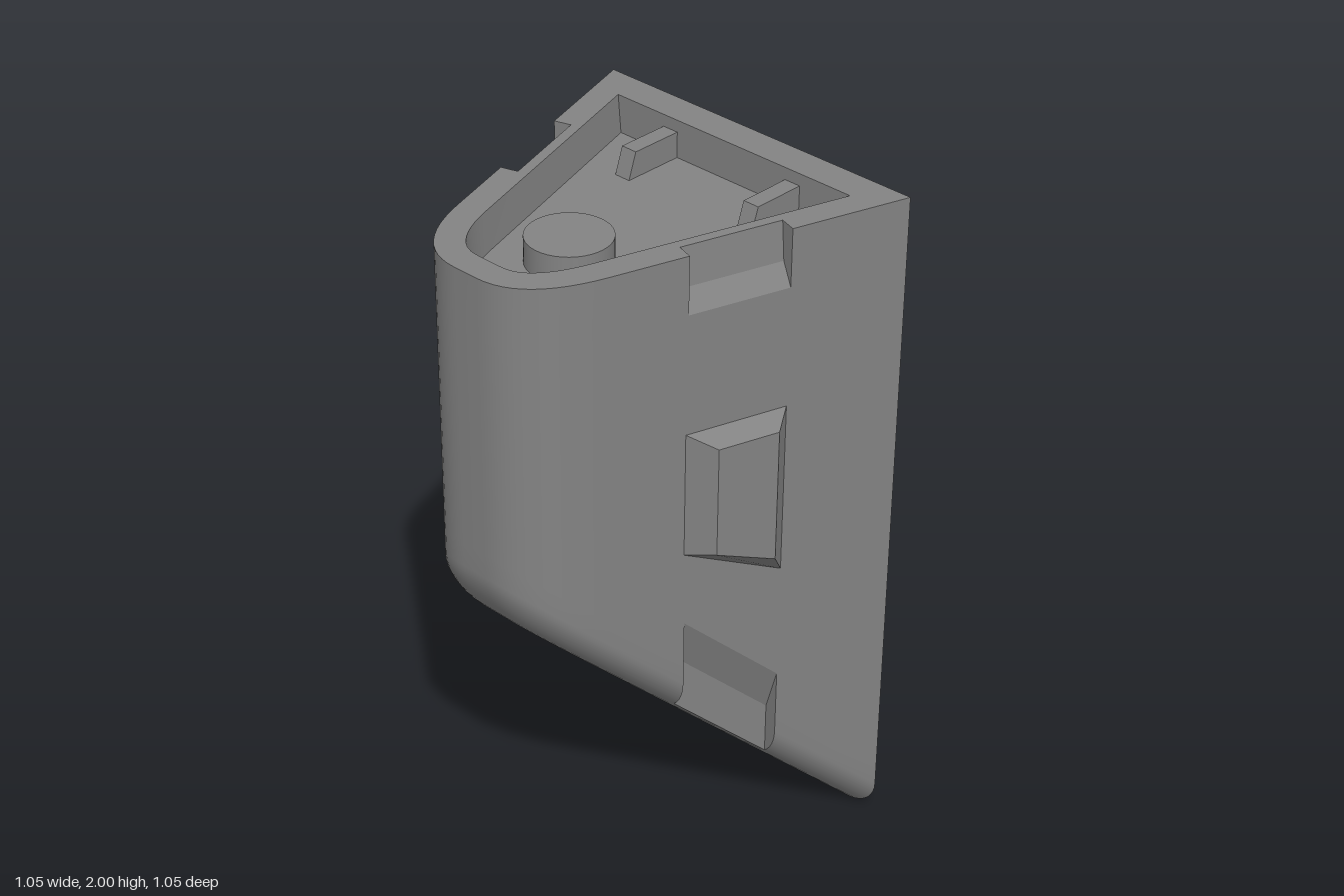
import * as THREE from 'three';
import { toCreasedNormals } from 'three/addons/utils/BufferGeometryUtils.js';

const BACK = -0.525, POCKET_BACK = -0.425, TOP = 2, FLOOR = 1.89;
const SLOPE = -0.314, NX = 1 / Math.hypot(1, SLOPE), NZ = -SLOPE * NX;
const sideX = z => 0.525 + (z - BACK) * SLOPE;   // straight side wall in plan
const slantY = z => 0.965 * z + 0.507;           // slanted underside

const material = new THREE.MeshStandardMaterial({ color: 0x838383 });

// Plan outline from the left back corner to the nose, then mirrored
function makeColumns() {
  const half = [];
  const side = (z, notch = 0, end = false) => half.push({ x: sideX(z), z, nx: NX, nz: NZ, notch, end });
  side(BACK, 0, true);
  side(-0.195);
  side(-0.195, 0.05);
  side(0.085, 0.05);
  side(0.085);
  const nose = new THREE.QuadraticBezierCurve(
    new THREE.Vector2(sideX(0.3), 0.3), new THREE.Vector2(0.195, 0.525), new THREE.Vector2(0.04, 0.525));
  for (let i = 0; i <= 12; i++) {
    const p = nose.getPoint(i / 12), t = nose.getTangent(i / 12);
    half.push({ x: p.x, z: p.y, nx: t.y, nz: -t.x, notch: 0 });
  }
  return [...half, ...half.map(c => ({ ...c, x: -c.x, nx: -c.nx })).reverse()];
}

// Points of one column, from the underside recess up to the pocket floor
function columnPoints(c) {
  const at = (inset, y, endZ = BACK) => {
    const s = Math.sign(c.x);
    const x = c.end ? s * (sideX(endZ) - inset / NX) : c.x - c.nx * inset;
    const z = c.end ? endZ : c.z - c.nz * inset;
    return new THREE.Vector3(x, typeof y === 'function' ? y(z) : y, z);
  };
  const above = h => z => slantY(z) + h;
  const lip = 0.135 - 0.027 * c.nz * c.nz;       // narrower lip around the nose
  const pts = [at(lip + 0.015, above(0.075)), at(lip, above(0))];
  for (let k = 0; k <= 9; k++) {                 // rounded lower edge
    const a = k / 9 * Math.PI / 2;
    pts.push(at(Math.max(c.notch, 0.1 * (1 - Math.sin(a))), above(0.1 * (1 - Math.cos(a)))));
  }
  pts.push(at(c.notch, above(0.17)), at(0, above(0.3)));
  pts.push(at(0, 1.832), at(c.notch * 0.76, 1.89), at(c.notch, TOP));
  pts.push(at(0.08, TOP, POCKET_BACK), at(0.09, FLOOR, POCKET_BACK));
  return pts;
}

function shellGeometry(grid) {
  const pos = [], n = grid.length, last = grid[0].length - 1;
  const quad = (a, b, c, d) => [a, b, c, c, b, d].forEach(p => pos.push(p.x, p.y, p.z));
  for (let i = 0; i < n; i++) {
    const A = grid[i], B = grid[(i + 1) % n];
    // at the back only the pocket wall is closed here
    for (let j = i === n - 1 ? last - 1 : 0; j < last; j++) quad(A[j], A[j + 1], B[j], B[j + 1]);
  }
  for (let i = 0; i < n / 2 - 1; i++) {          // pocket floor and underside
    const A = grid[i], B = grid[i + 1], C = grid[n - 1 - i], D = grid[n - 2 - i];
    quad(A[last], C[last], B[last], D[last]);
    quad(C[0], A[0], D[0], B[0]);
  }
  const g = new THREE.BufferGeometry();
  g.setAttribute('position', new THREE.Float32BufferAttribute(pos, 3));
  return toCreasedNormals(g, 0.25);
}

// Extrude a (z, y) profile along x, centred
function extrudeX(profile, width) {
  const shape = new THREE.Shape(profile.map(([z, y]) => new THREE.Vector2(z, y)));
  const g = new THREE.ExtrudeGeometry(shape, { depth: width, bevelEnabled: false });
  return g.translate(0, 0, -width / 2).rotateY(-Math.PI / 2);
}

const toPoints = list => list.map(p => new THREE.Vector2(...p));
const rectPoints = (w, y0, y1) => toPoints([[-w, y0], [w, y0], [w, y1], [-w, y1]]);

// Tapered pod on the side wall: base and face are (z, y) corners
function podGeometry(s) {
  const base = [[0.09, 1.482], [-0.197, 1.482], [-0.197, 0.968], [0.09, 1.11]];
  const face = [[0.05, 1.455], [-0.12, 1.455], [-0.12, 1.06], [0.05, 1.13]];
  const g = new THREE.BoxGeometry(1, 1, 1), p = g.attributes.position;
  for (let i = 0; i < p.count; i++) {
    const outer = p.getX(i) * s > 0;
    const front = p.getZ(i) > 0, up = p.getY(i) > 0;
    const [z, y] = (outer ? face : base)[up ? (front ? 0 : 1) : (front ? 3 : 2)];
    p.setXYZ(i, s * (sideX(z) + (outer ? 0.068 : -0.002)), y, z);
  }
  const flat = g.toNonIndexed();
  flat.computeVertexNormals();
  return flat;
}

export function createModel() {
  const model = new THREE.Group();
  const add = (name, geometry, x = 0, y = 0, z = 0) => {
    const mesh = new THREE.Mesh(geometry, material);
    mesh.name = name;
    mesh.position.set(x, y, z);
    model.add(mesh);
  };

  const grid = makeColumns().map(columnPoints);
  add('bodyShell', shellGeometry(grid));

  // Back wall with feet, a rectangular opening and a cut along the top edge
  const cutW = 0.47, cutY = 1.945, cutZ = -0.47;
  const edge = grid[0].slice(0, -2).map(p => new THREE.Vector2(p.x, p.y));
  edge.push(new THREE.Vector2(cutW, TOP), new THREE.Vector2(cutW, cutY));
  const back = new THREE.Shape([...edge, ...edge.map(p => new THREE.Vector2(-p.x, p.y)).reverse()]);
  back.holes.push(new THREE.Path(rectPoints(0.43, 0.38, 1.89)));
  add('backWall', new THREE.ShapeGeometry(back).rotateY(Math.PI), 0, 0, BACK);

  // Rim behind the pocket, with the sloped cut and its ends
  const rimX = grid[0].at(-2).x;
  const rim = new THREE.Shape(toPoints([[0.525, -BACK], [cutW, -BACK], [cutW, -cutZ], [-cutW, -cutZ],
    [-cutW, -BACK], [-0.525, -BACK], [-rimX, -POCKET_BACK], [rimX, -POCKET_BACK]]));
  add('rearRim', new THREE.ShapeGeometry(rim).rotateX(-Math.PI / 2), 0, TOP);
  add('rimChamfer', extrudeX([[BACK, cutY], [-0.516, cutY + 0.005], [cutZ, TOP], [cutZ, cutY]], 2 * cutW));

  // Lining of the opening
  const frame = new THREE.Shape(rectPoints(0.45, 0.35, 1.92));
  frame.holes.push(new THREE.Path(rectPoints(0.43, 0.38, 1.89)));
  add('backFrame', new THREE.ExtrudeGeometry(frame, { depth: 0.097, bevelEnabled: false }), 0, 0, BACK + 0.001);

  // Stepped panel, lower door and handle
  add('backPanel', extrudeX([[-0.427, 0.37], [-0.427, 1.9], [-0.437, 1.9], [-0.437, 1.39],
    [-0.478, 1.34], [-0.478, 0.94], [-0.45, 0.93], [-0.45, 0.37]], 0.87));
  add('lowerDoor', extrudeX([[-0.44, 0.37], [-0.44, 0.91], [-0.495, 0.91], [-0.519, 0.83], [-0.519, 0.37]], 0.8));
  add('handle', new THREE.CapsuleGeometry(0.065, 0.39, 8, 20).rotateZ(Math.PI / 2), 0, 1.7, -0.455);

  // Pocket boss, ribs, side pods and ends of the rim cut
  add('pocketBoss', new THREE.CylinderGeometry(0.116, 0.116, 0.08, 40), 0, FLOOR + 0.035, 0.17);
  for (const s of [1, -1]) {
    add('pocketRib', extrudeX([[-0.43, 1.885], [-0.43, 1.965], [-0.267, 1.965], [-0.24, 1.885]], 0.05), s * 0.216);
    add('sidePod', podGeometry(s));
    add('rimCutEnd', extrudeX([[BACK + 0.001, cutY], [BACK + 0.001, TOP - 0.001], [cutZ, TOP - 0.001], [cutZ, cutY]], 0.03),
      s * (cutW + 0.015));
  }

  // Louvre slats across the underside recess
  const halfWidth = z => {
    for (let i = 0; i < grid.length / 2 - 1; i++) {
      const a = grid[i][0], b = grid[i + 1][0];
      if (z >= a.z && z <= b.z && b.z > a.z) return a.x + (b.x - a.x) * (z - a.z) / (b.z - a.z);
    }
    return 0.04;
  };
  for (let k = 0; k < 21; k++) {
    const z = -0.5 + k * 0.0435;
    add('slat', new THREE.BoxGeometry(2 * halfWidth(z), 0.04, 0.02), 0, slantY(z) + 0.068, z);
  }
  return model;
}
